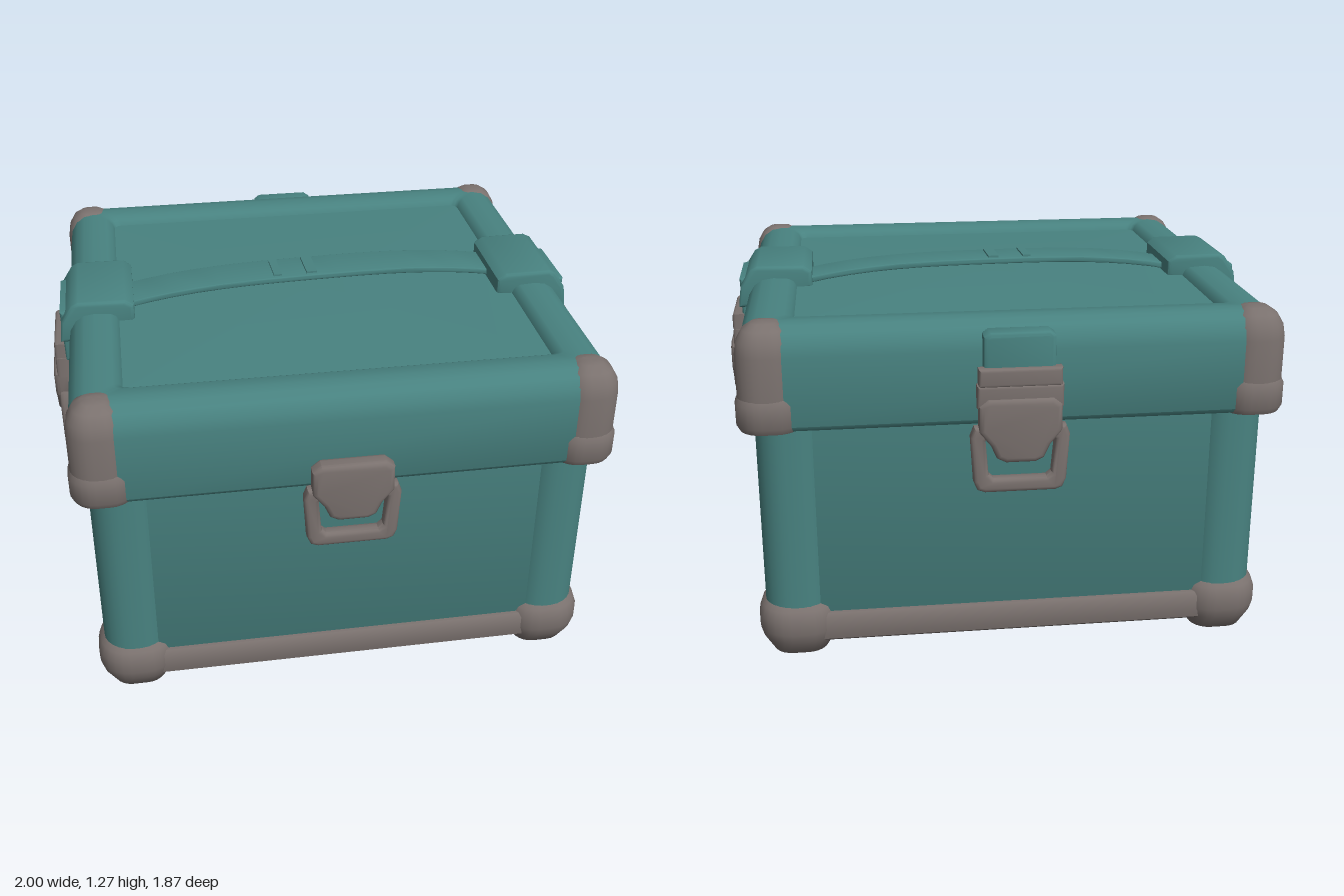
import * as THREE from 'three';
import { toCreasedNormals } from 'three/addons/utils/BufferGeometryUtils.js';

const teal = new THREE.MeshStandardMaterial({ color: 0x488280, name: 'teal shell' });
const grey = new THREE.MeshStandardMaterial({ color: 0x7a716e, name: 'warm grey metal' });
const ZC = 0.013; // the box sits slightly forward of the latches' centre

function mesh(geo, mat, name, parent, x = 0, y = 0, z = 0) {
  const m = new THREE.Mesh(toCreasedNormals(geo, 0.7), mat);
  m.name = name;
  m.position.set(x, y, z);
  parent.add(m);
  return m;
}

// Stack of rounded rectangles; profile is a list of [inset, y], from inside/bottom to top
function loft(hx, hz, r, profile, caps = true) {
  const pos = [], idx = [], seg = 6, n = 4 * (seg + 1);
  for (const [inset, y] of profile) {
    const rad = Math.max(r - inset, 0.03);
    for (let q = 0; q < 4; q++) for (let k = 0; k <= seg; k++) {
      const a = (q + k / seg) * Math.PI / 2;
      const sx = q === 0 || q === 3 ? 1 : -1, sz = q < 2 ? 1 : -1;
      pos.push(sx * (hx - inset - rad) + rad * Math.cos(a), y, sz * (hz - inset - rad) + rad * Math.sin(a));
    }
  }
  const last = (profile.length - 1) * n, c = profile.length * n;
  pos.push(0, profile[0][1], 0, 0, profile[profile.length - 1][1], 0);
  for (let j = 0; j < n; j++) {
    const k = (j + 1) % n;
    for (let o = 0; o < last; o += n) idx.push(o + j, o + n + j, o + k, o + n + j, o + n + k, o + k);
    if (caps) idx.push(c, j, k, c + 1, last + k, last + j);
  }
  const g = new THREE.BufferGeometry();
  g.setAttribute('position', new THREE.Float32BufferAttribute(pos, 3));
  g.setIndex(idx);
  return g;
}

// Bevelled plate from an outline, its middle plane on z = 0
function plate(points, depth, bevel, hole) {
  const s = new THREE.Shape(points.map(p => new THREE.Vector2(...p)));
  if (hole) s.holes.push(new THREE.Path(hole.map(p => new THREE.Vector2(...p))));
  const g = new THREE.ExtrudeGeometry(s, {
    depth: depth - 2 * bevel, bevelEnabled: bevel > 0, bevelThickness: bevel,
    bevelSize: bevel, bevelOffset: -bevel, bevelSegments: 3, curveSegments: 8
  });
  return g.translate(0, 0, bevel - depth / 2);
}

const mirror = pts => [...pts, ...pts.map(([x, y]) => [-x, y]).reverse()];

// Latch facing +z; z = 0 is the lid's face
function latch(tall) {
  const g = new THREE.Group();
  g.name = 'latch';
  const outer = mirror([[0.12, 0.65], [0.145, 0.66], [0.158, 0.69], [0.168, 0.85], [0.155, 0.885]]);
  const inner = mirror([[0.09, 0.7], [0.107, 0.715], [0.117, 0.835], [0.105, 0.845]]);
  mesh(plate(outer, 0.05, 0.014, inner), grey, 'latch ring', g, 0, 0, 0.028);
  const tongue = mirror([[0.05, 0.76], [0.08, 0.775], [0.1, 0.82], [0.14, 0.87], [0.14, 0.96], [0.11, 0.985]]);
  mesh(plate(tongue, 0.065, 0.018), grey, 'latch tongue', g, 0, 0, 0.034);
  if (tall) {
    for (const [y, h, w] of [[1.055, 0.065, 0.14], [0.99, 0.08, 0.145]]) {
      const band = [[-w, y - h / 2], [w, y - h / 2], [w, y + h / 2], [-w, y + h / 2]];
      mesh(plate(band, 0.05, 0.012), grey, 'latch hinge band', g, 0, 0, 0.028);
    }
  }
  return g;
}

// Pad that wraps over a lid edge; its outline lies in x, y with +x outward
function pad(parent, side) {
  const g = new THREE.Group();
  g.name = 'handle pad';
  const top = [[0.68, 1.19], [0.68, 1.25], [0.71, 1.272], [0.88, 1.274], [0.905, 1.262], [0.945, 1.2], [0.955, 1.12], [0.88, 1.12]];
  mesh(plate(top, 0.36, 0.015), teal, 'pad top', g);
  const flap = [[0.87, 1.02], [0.945, 1.02], [0.95, 1.22], [0.87, 1.24]];
  mesh(plate(flap, 0.28, 0.012), teal, 'pad flap', g);
  g.rotation.y = side > 0 ? 0 : Math.PI;
  g.position.z = 0.01;
  parent.add(g);
}

export function createModel() {
  const model = new THREE.Group();
  model.name = 'storage case';

  // Body with set-back panels between rounded corner pillars
  mesh(loft(0.862, 0.802, 0.06, [[0.02, 0.085], [0, 0.12], [0, 0.92]]), teal, 'body', model, 0, 0, ZC);

  // Base frame, open underneath
  mesh(loft(0.882, 0.825, 0.1, [[0.13, 0.1], [0.12, 0.05], [0.025, 0.05], [0.005, 0.065], [0, 0.09],
    [0, 0.15], [0.012, 0.165], [0.05, 0.17]], false), grey, 'base frame', model, 0, 0, ZC);

  // Lid with rounded rim and sunken top panel
  mesh(loft(0.922, 0.864, 0.12, [[0.05, 0.87], [0.015, 0.872], [0, 0.89], [0, 1.13], [0.008, 1.17], [0.03, 1.205],
    [0.06, 1.224], [0.1, 1.23], [0.155, 1.226], [0.175, 1.215], [0.185, 1.195], [0.4, 1.2]]),
  teal, 'lid', model, 0, 0, ZC);

  // Corner pieces
  for (const sx of [-1, 1]) for (const sz of [-1, 1]) {
    mesh(loft(0.117, 0.117, 0.1, [[0, 0.12], [0, 0.92]]), teal, 'corner pillar', model, sx * 0.768, 0, sz * 0.706 + ZC);
    mesh(loft(0.142, 0.138, 0.115, [[0.06, 0], [0.045, 0.006], [0.01, 0.065], [0, 0.1], [0, 0.15], [0.012, 0.185],
      [0.035, 0.205], [0.07, 0.21]]), grey, 'corner foot', model, sx * 0.768, 0, sz * 0.71 + ZC);
    mesh(loft(0.102, 0.1, 0.085, [[0, 0.97], [0, 1.13], [0.008, 1.175], [0.03, 1.212], [0.06, 1.232], [0.085, 1.236]]),
      grey, 'lid corner cap', model, sx * 0.83, 0, sz * 0.773 + ZC);
    mesh(loft(0.112, 0.11, 0.09, [[0.05, 0.862], [0.012, 0.868], [0, 0.89], [0, 0.965], [0.01, 0.985], [0.04, 0.995]]),
      grey, 'lid corner cuff', model, sx * 0.828, 0, sz * 0.771 + ZC);
  }

  // Latches on all four sides
  for (const [x, z, turn, tall] of [[0, 0.867, 0, false], [0, -0.867, Math.PI, true],
    [0.932, 0, Math.PI / 2, true], [-0.932, 0, -Math.PI / 2, true]]) {
    const l = latch(tall);
    l.position.set(x, 0, z);
    l.rotation.y = turn;
    model.add(l);
  }

  // Hinge cover on the back
  mesh(plate([[-0.12, 1.02], [0.12, 1.02], [0.12, 1.19], [0.1, 1.205], [-0.1, 1.205], [-0.12, 1.19]], 0.08, 0.015),
    teal, 'back hinge cover', model, 0, 0, -0.86);

  // Carry strap, bowed over the lid and slightly askew
  pad(model, 1);
  pad(model, -1);
  const upper = [], lower = [];
  for (let i = 0; i <= 16; i++) {
    const x = -0.72 + 0.09 * i, y = 1.215 + 0.05 * (1 - Math.pow(Math.abs(x) / 0.72, 3));
    upper.push([x, y]);
    lower.push([x, y - 0.022]);
  }
  const strap = new THREE.Group();
  strap.name = 'carry strap';
  strap.position.z = -0.018;
  strap.rotation.y = 0.045;
  mesh(plate([...lower, ...upper.reverse()], 0.165, 0.005), teal, 'strap band', strap);
  mesh(new THREE.BoxGeometry(0.03, 0.012, 0.13), teal, 'strap stitch bar', strap, -0.14, 1.265, 0);
  mesh(new THREE.BoxGeometry(0.04, 0.012, 0.13), teal, 'strap keeper', strap, -0.01, 1.266, 0);
  model.add(strap);

  return model;
}
